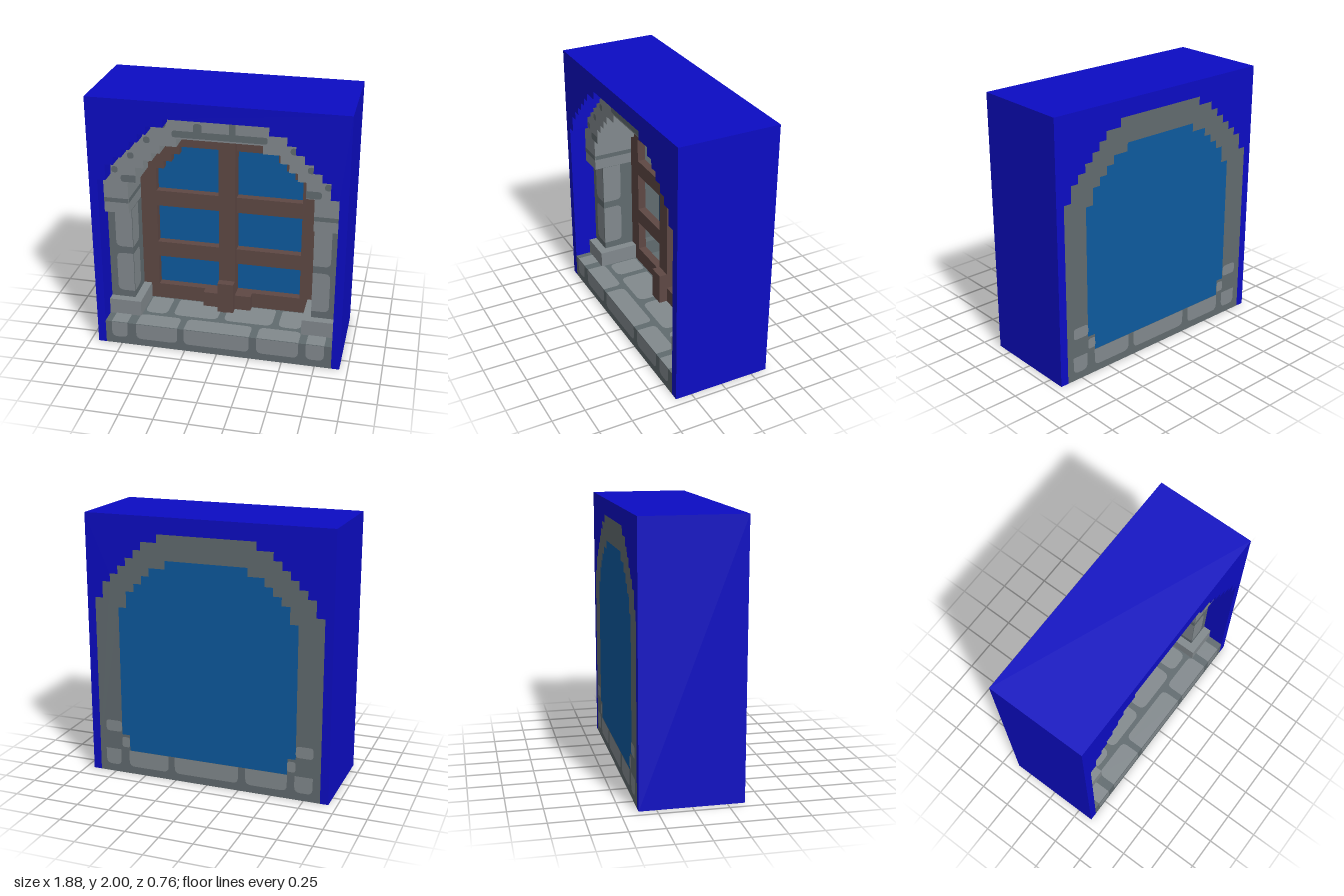
import * as THREE from 'three';

// Everything is laid out on a block grid: 16 blocks per unit
const mat = (name, color) => {
  const m = new THREE.MeshStandardMaterial({ color });
  m.name = name;
  return m;
};

export function createModel() {
  const wallBlue = mat('wall blue', 0x0c0cc4);
  const glassBlue = mat('glass blue', 0x0d5a9e);
  const wood = mat('brown wood', 0x5e4844);
  const stone = mat('dark stone', 0x616b6f);
  const paleStone = mat('pale stone', 0x82898d);

  const root = new THREE.Group();
  root.name = 'archedWindow';
  root.scale.setScalar(1 / 16);

  const add = (name, geo, material) => {
    const mesh = new THREE.Mesh(geo, material);
    mesh.name = name;
    root.add(mesh);
    return mesh;
  };
  const box = (name, material, x0, x1, y0, y1, z0, z1) => {
    const mesh = add(name, new THREE.BoxGeometry(x1 - x0, y1 - y0, z1 - z0), material);
    mesh.position.set((x0 + x1) / 2, (y0 + y1) / 2, (z0 + z1) / 2);
  };
  const extrude = (name, material, shape, z0, z1) => {
    const geo = new THREE.ExtrudeGeometry(shape, { depth: z1 - z0, bevelEnabled: false });
    add(name, geo.translate(0, 0, z0), material);
  };
  const points = (list) => list.map(([x, y]) => new THREE.Vector2(x, y));

  // Right half of a stepped arch, from foot to crown; steps are [half width, top]
  const halfArch = (steps, foot) => {
    const out = [...foot];
    for (let i = steps.length - 1; i >= 0; i--) {
      const [w, top] = steps[i];
      if (i < steps.length - 1) out.push([w, steps[i + 1][1]]);
      out.push([w, top]);
    }
    return out;
  };
  const mirrored = (half) => half.map(([x, y]) => [-x, y]).reverse();
  const outerSteps = [[6, 30], [8, 29], [9, 28], [10, 27], [11, 26], [12, 25], [13, 24], [14, 22]];
  const innerSteps = [[5, 27], [7, 26], [8, 25], [9, 24], [10, 23], [11, 21]];
  const outer = (y) => halfArch(outerSteps, [[14, y]]);
  const innerFull = halfArch(innerSteps, [[10, 3], [10, 5], [11, 5]]);
  const innerTop = halfArch(innerSteps, [[11, 17]]);
  const closed = (half) => [...half, ...mirrored(half)];
  const band = (out, inn) => new THREE.Shape(points([...closed(out), ...closed(inn).reverse()]));

  // Wall with an arched cut-out
  extrude('wall', wallBlue, band([[15, 0], [15, 32]], outer(0)), -6, 6);

  // Stone surround: sill, rear frame, raised arch, columns and pedestals
  box('sill', stone, -14, 14, 0, 3, -6, 6);
  extrude('rearSurround', stone, band(outer(3), innerFull), -6, -1);
  extrude('arch', paleStone, band(outer(17), innerTop), -1, 4);
  for (const s of [-1, 1]) {
    const side = s < 0 ? 'right' : 'left';
    const xs = (a, b) => (s < 0 ? [-b, -a] : [a, b]);
    box(side + 'Column', stone, ...xs(11, 14), 5, 17, -1, 3);
    box(side + 'Pedestal', paleStone, ...xs(10, 14), 3, 5, -1, 4);
  }

  // Wooden frame with six panes
  const frame = new THREE.Shape(points(closed(innerFull)));
  const panes = [
    [[1, 5], [9, 5], [9, 9], [1, 9]],
    [[1, 11], [9, 11], [9, 16], [1, 16]],
    [[1, 18], [9, 18], [9, 21], [8, 21], [8, 22], [7, 22], [7, 23], [6, 23], [6, 24], [1, 24]],
  ];
  for (const pane of panes) {
    frame.holes.push(new THREE.Path(points(pane)), new THREE.Path(points(mirrored(pane))));
  }
  extrude('windowFrame', wood, frame, -2, -1);
  box('mullion', wood, -1, 1, 3, 27, -2, 0);
  box('mullionFoot', wood, -1, 1, 3, 7, 0, 1);
  box('rightFootBlock', wood, -3, -1, 3, 5, -1, 0);
  box('leftFootBlock', wood, 1, 3, 3, 5, -1, 0);

  // Glass at the back
  extrude('glass', glassBlue, new THREE.Shape(points(closed(innerFull))), -6, -5);

  // Flat stone markings; radii go bottom left, bottom right, top right, top left
  const patch = (name, material, u0, u1, v0, v1, radii) => {
    const [a, b, c, d] = radii;
    const s = new THREE.Shape();
    s.moveTo(u0 + a, v0).lineTo(u1 - b, v0).quadraticCurveTo(u1, v0, u1, v0 + b);
    s.lineTo(u1, v1 - c).quadraticCurveTo(u1, v1, u1 - c, v1);
    s.lineTo(u0 + d, v1).quadraticCurveTo(u0, v1, u0, v1 - d);
    s.lineTo(u0, v0 + a).quadraticCurveTo(u0, v0, u0 + a, v0);
    return add(name, new THREE.ShapeGeometry(s, 4), material);
  };
  const lift = 0.05;
  const front = (name, m, u0, u1, v0, v1, r, z) => {
    patch(name, m, u0, u1, v0, v1, r).position.z = z + lift;
  };
  const frontPair = (name, m, u0, u1, v0, v1, [a, b, c, d], z) => {
    front(name, m, u0, u1, v0, v1, [a, b, c, d], z);
    front(name, m, -u1, -u0, v0, v1, [b, a, d, c], z);
  };
  const back = (name, m, u0, u1, v0, v1, r) => {
    const p = patch(name, m, u0, u1, v0, v1, r);
    p.rotation.y = Math.PI;
    p.position.z = -6 - lift;
  };
  const top = (name, m, u0, u1, v0, v1, r) => {
    const p = patch(name, m, u0, u1, v0, v1, r);
    p.rotation.x = -Math.PI / 2;
    p.position.y = 3 + lift;
  };
  // Inward faces of both columns, z measured from z0 to z1
  const reveal = (name, m, z0, z1, y0, y1, [a, b, c, d]) => {
    const p = patch(name, m, -z1, -z0, y0, y1, [a, b, c, d]);
    p.rotation.y = Math.PI / 2;
    p.position.x = -11 + lift;
    const q = patch(name, m, z0, z1, y0, y1, [b, a, d, c]);
    q.rotation.y = -Math.PI / 2;
    q.position.x = 11 - lift;
  };

  // Sill blocks, wrapping from the front onto the top
  for (const [u0, u1] of [[-13.2, -11.2], [-10.1, -4.9], [-4.1, 4], [4.9, 10], [10.9, 13.1]]) {
    front('sillBlock', paleStone, u0, u1, 0.95, 3, [0.7, 0.7, 0, 0], 6);
    back('sillBackBlock', paleStone, u0, u1, 0.95, 3, [0.7, 0.7, 0, 0]);
    top('sillTopBlock', paleStone, u0, u1, -6, -3.6, [0, 0, 0.7, 0.7]);
  }
  for (const [u0, u1] of [[-9.8, -7], [-6.2, -0.6], [0.2, 6.2], [7, 9.8]]) {
    top('sillTopBlock', paleStone, u0, u1, -3, 0.8, [0.9, 0.9, 0.4, 0.4]);
  }
  for (const s of [-1, 1]) {
    const u = s < 0 ? [-13.1, -11, -11, -10] : [11, 13.1, 10, 11];
    back('rearBlock', paleStone, u[0], u[1], 5.3, 6.7, [0.4, 0.4, 0.4, 0.4]);
    back('rearBlock', paleStone, u[2], u[3], 3.4, 4.7, [0.3, 0.3, 0.3, 0.3]);
  }

  // Column blocks on the front and the inward faces
  for (const [y0, y1, t] of [[5.9, 11.1, 0.7], [12, 17, 0]]) {
    frontPair('columnBlock', paleStone, 11, 13.1, y0, y1, [0, 0.7, t, 0], 3);
    reveal('columnRevealBlock', paleStone, 0.6, 3, y0, y1, [0, 0.7, t, 0]);
  }

  // Dark joints and pits on the arch
  const square = [0, 0, 0, 0];
  frontPair('capitalJoint', stone, 11, 14, 18.35, 18.9, square, 4);
  reveal('capitalRevealJoint', stone, -1, 4, 18.35, 18.9, square);
  frontPair('archBar', stone, 10, 11.8, 21.1, 22, [0, 0.4, 0.4, 0], 4);
  for (const [x, y] of [[6.6, 28.6], [8.5, 26.6], [10.5, 24.5], [12.5, 22.6]]) {
    frontPair('archPit', stone, x - 0.4, x + 0.4, y - 0.4, y + 0.4, [0.4, 0.4, 0.4, 0.4], 4);
  }
  front('crownJoint', stone, -5.5, 5.5, 27.2, 28, [0.3, 0.3, 0.3, 0.3], 4);
  front('crownNotch', stone, -3, -2, 28, 29, [0, 0, 0.4, 0.4], 4);
  front('crownSeam', stone, 1.1, 1.85, 28, 30, square, 4);

  const model = new THREE.Group();
  model.name = 'window';
  model.add(root);
  return model;
}
